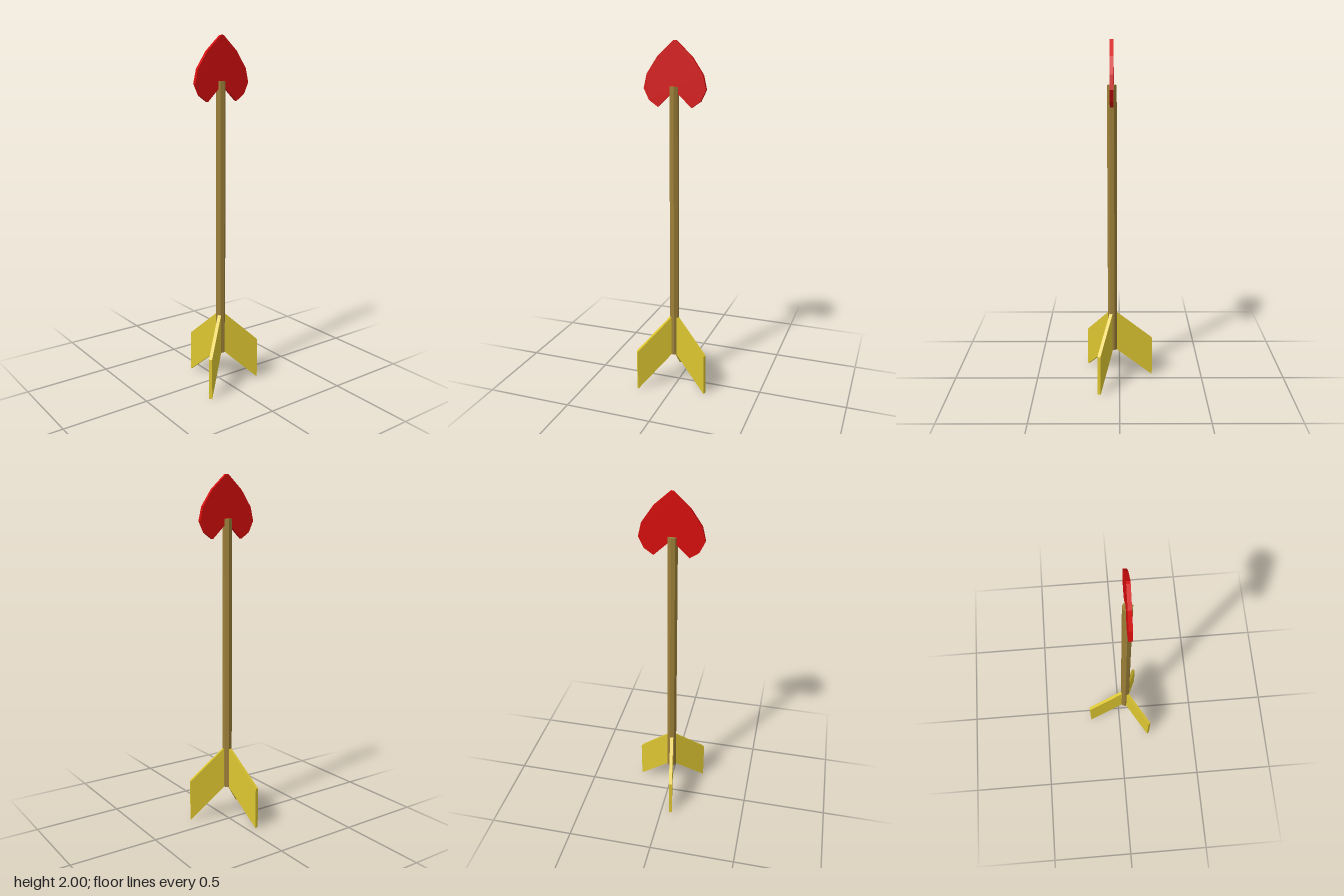
import * as THREE from 'three';

const CX = -0.016, CZ = 0.042; // shaft axis

function flat(name, color) {
  const m = new THREE.MeshStandardMaterial({ color });
  m.name = name;
  return m;
}

// Flat plate from an outline, centred on its thickness
function plate(points, depth) {
  const shape = new THREE.Shape(points.map(([x, y]) => new THREE.Vector2(x, y)));
  return new THREE.ExtrudeGeometry(shape, { depth, bevelEnabled: false }).translate(0, 0, -depth / 2);
}

export function createModel() {
  const group = new THREE.Group();
  group.name = 'arrow';
  const red = flat('red', 0xd60d0d);
  const wood = flat('wood', 0x9c7f38);
  const yellow = flat('yellow', 0xdcc530);

  function add(name, geometry, material) {
    const mesh = new THREE.Mesh(geometry, material);
    mesh.name = name;
    group.add(mesh);
    return mesh;
  }

  // Seven-sided shaft
  const shaftGeo = new THREE.CylinderGeometry(0.0275, 0.0275, 1.57, 7, 1, false, -Math.PI / 2).toNonIndexed();
  shaftGeo.computeVertexNormals();
  add('shaft', shaftGeo, wood).position.set(CX, 0.975, CZ);

  // Heart-shaped head: one half, mirrored
  const half = [[0.007, 2], [0.097, 1.917], [0.159, 1.825], [0.177, 1.748], [0.147, 1.685], [0.096, 1.65]];
  const outline = [...half, [0, 1.742], ...half.map(([x, y]) => [-x, y]).reverse()];
  add('heartHead', plate(outline, 0.02), red).position.set(-0.011, 0, CZ);

  // Three swept fins, 120 degrees apart
  const fins = [['leftFin', -20, 0.226], ['rightFin', -140, 0.233], ['backFin', 100, 0.243]];
  for (const [name, angle, length] of fins) {
    const fin = add(name, plate([[0.02, 0.19], [length, 0], [length, 0.24], [0.02, 0.43]], 0.019), yellow);
    fin.position.set(CX, 0, CZ);
    fin.rotation.y = THREE.MathUtils.degToRad(angle);
  }
  return group;
}
